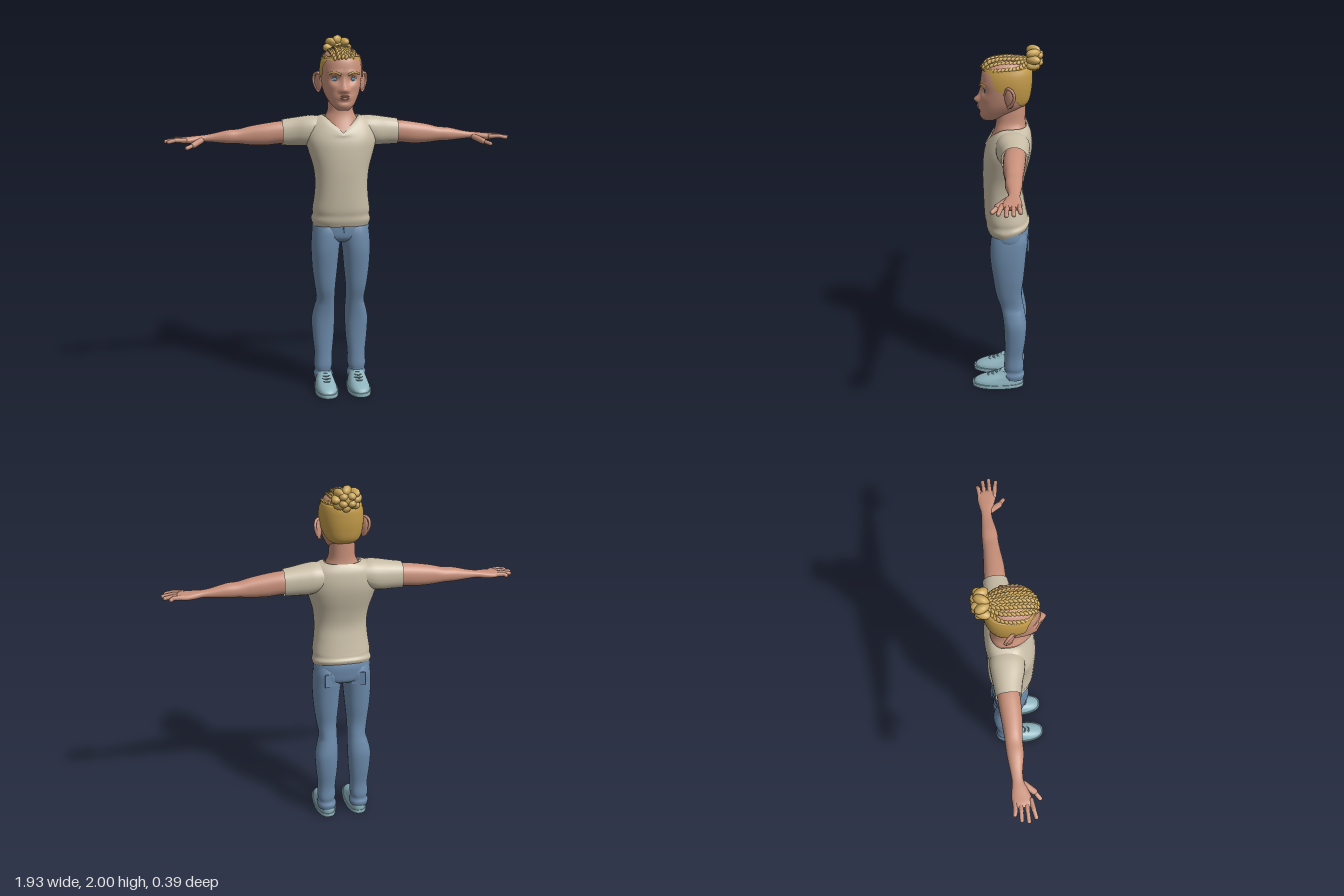
import * as THREE from 'three';
import { mergeGeometries } from 'three/addons/utils/BufferGeometryUtils.js';

const mat = (name, color, side = THREE.FrontSide) => {
  const m = new THREE.MeshStandardMaterial({ color, side });
  m.name = name;
  return m;
};
const clamp = (v, a, b) => Math.min(b, Math.max(a, v));
const bell = (a, b) => Math.exp(-a * a - b * b);

// Smoothly interpolates rows of numbers
function smoothRows(rows, steps) {
  const out = [];
  for (let i = 0; i < rows.length - 1; i++) {
    const p = rows[Math.max(i - 1, 0)], a = rows[i], b = rows[i + 1], n = rows[Math.min(i + 2, rows.length - 1)];
    for (let s = 0; s < steps; s++) {
      const t = s / steps;
      out.push(a.map((v, k) => v + 0.5 * t * (b[k] - p[k] + t * (2 * p[k] - 5 * v + 4 * b[k] - n[k]
        + t * (3 * (v - b[k]) + n[k] - p[k])))));
    }
  }
  out.push(rows[rows.length - 1]);
  return out;
}

// Skin over rounded sections. axis y rows: [y, x0, x1, z0, z1]; axis x rows: [x, y0, y1, z0, z1]
function loft(rows, { axis = 'y', seg = 28, steps = 4, n = 2.3, caps = true, front = null, warp = null } = {}) {
  const pos = [], idx = [], rings = smoothRows(rows, steps);
  const cols = front ? seg + 1 : seg;
  const power = (v) => Math.sign(v) * Math.abs(v) ** (2 / n);
  const put = (v) => { if (warp) warp(v); pos.push(v.x, v.y, v.z); };
  const ringPoint = ([t, a0, a1, b0, b1], i) => {
    let start = 0;
    if (front) {
      const q = clamp((front(t) - (b0 + b1) / 2) / ((b1 - b0) / 2), -1, 1);
      start = Math.acos(Math.sign(q) * Math.abs(q) ** (n / 2));
    }
    const ang = start + (i / seg) * 2 * (Math.PI - start), c = power(Math.cos(ang)), s = power(Math.sin(ang));
    const at = (lo, hi, k) => (lo + hi) / 2 + ((hi - lo) / 2) * k;
    return axis === 'y' ? new THREE.Vector3(at(a0, a1, s), t, at(b0, b1, c))
      : new THREE.Vector3(t, at(a0, a1, c), at(b0, b1, s));
  };
  rings.forEach((r) => { for (let i = 0; i < cols; i++) put(ringPoint(r, i)); });
  for (let j = 0; j < rings.length - 1; j++) for (let i = 0; i < seg; i++) {
    const k = (i + 1) % cols, a = j * cols + i, b = j * cols + k;
    idx.push(a, b, b + cols, a, b + cols, a + cols);
  }
  if (caps) [rings[0], rings[rings.length - 1]].forEach((r, e) => {
    const base = pos.length / 3, a = (r[1] + r[2]) / 2, b = (r[3] + r[4]) / 2;
    for (let i = 0; i < seg; i++) put(ringPoint(r, i));
    put(axis === 'y' ? new THREE.Vector3(a, r[0], b) : new THREE.Vector3(r[0], a, b));
    for (let i = 0; i < seg; i++) {
      const p = base + i, q = base + (i + 1) % seg;
      idx.push(base + seg, e ? p : q, e ? q : p);
    }
  });
  const g = new THREE.BufferGeometry();
  g.setAttribute('position', new THREE.Float32BufferAttribute(pos, 3));
  g.setIndex(idx);
  g.computeVertexNormals();
  return g;
}
const sym = (rows) => rows.map(([y, w, z0, z1]) => [y, -w, w, z0, z1]);

function blob(x, y, z, rx, ry, rz, q = new THREE.Quaternion(), seg = 12) {
  return new THREE.SphereGeometry(1, seg, Math.round(seg * 0.7)).scale(rx, ry, rz).applyQuaternion(q).translate(x, y, z);
}
function capsule(p, q, r) {
  const a = new THREE.Vector3(...p), b = new THREE.Vector3(...q), d = b.clone().sub(a);
  const turn = new THREE.Quaternion().setFromUnitVectors(new THREE.Vector3(0, 1, 0), d.clone().normalize());
  const mid = a.add(b).multiplyScalar(0.5);
  return new THREE.CapsuleGeometry(r, d.length(), 4, 10).applyQuaternion(turn).translate(mid.x, mid.y, mid.z);
}
const tube = (pts, r) => new THREE.TubeGeometry(
  new THREE.CatmullRomCurve3(pts.map((p) => new THREE.Vector3(...p))), 16, r, 8);
function mirrored(geo) {
  const g = geo.clone().scale(-1, 1, 1), ix = g.index;
  for (let i = 0; i < ix.count; i += 3) {
    const t = ix.getX(i);
    ix.setX(i, ix.getX(i + 1));
    ix.setX(i + 1, t);
  }
  return g;
}

export function createModel() {
  const model = new THREE.Group();
  const skin = mat('skin', 0xc8907a), lip = mat('lips', 0xb67a68);
  const cloth = mat('shirt', 0xc8bda6, THREE.DoubleSide), denim = mat('denim', 0x6b89a9);
  const shoe = mat('shoe', 0x8fb4be), lace = mat('laces', 0x64828e);
  const hair = mat('hair', 0xcba659), shaved = mat('shaved hair', 0xc29a49, THREE.DoubleSide);
  const white = mat('eye white', 0xd5d8da), iris = mat('iris', 0x4a8dbd);
  const add = (name, geo, m) => {
    const mesh = new THREE.Mesh(geo, m);
    mesh.name = name;
    model.add(mesh);
  };
  const pair = (name, geo, m) => {
    add('left ' + name, geo, m);
    add('right ' + name, mirrored(geo), m);
  };

  // Head, with the face sculpted by soft bumps and hollows
  const headRows = sym([[1.597, 0.03, 0.06, 0.13], [1.622, 0.058, 0.0, 0.145], [1.66, 0.082, -0.07, 0.145],
    [1.70, 0.098, -0.11, 0.142], [1.76, 0.109, -0.125, 0.136], [1.82, 0.111, -0.13, 0.138],
    [1.87, 0.102, -0.126, 0.128], [1.905, 0.083, -0.1, 0.1], [1.922, 0.055, -0.06, 0.06], [1.93, 0.02, -0.02, 0.025]]);
  add('head', loft(headRows, { seg: 72, steps: 7, warp: (v) => {
    if (v.z < 0.04) return;
    const x = Math.abs(v.x), y = v.y;
    v.z += 0.034 * bell(x / 0.017, (y - 1.708) / 0.02) + 0.012 * bell(x / 0.012, (y - 1.745) / 0.03)
      + 0.014 * bell((x - 0.019) / 0.011, (y - 1.702) / 0.012) + 0.013 * bell(x / 0.03, (y - 1.668) / 0.016)
      + 0.007 * bell((x - 0.045) / 0.04, (y - 1.797) / 0.012) - 0.016 * bell((x - 0.047) / 0.022, (y - 1.763) / 0.017)
      - 0.005 * bell(x / 0.03, (y - 1.643) / 0.01) + 0.005 * bell((x - 0.06) / 0.025, (y - 1.725) / 0.018);
  } }), skin);
  add('neck', loft(sym([[1.42, 0.1, -0.08, 0.108], [1.47, 0.1, -0.1, 0.098], [1.5, 0.1, -0.104, 0.086],
    [1.55, 0.09, -0.105, 0.066], [1.59, 0.072, -0.1, 0.059], [1.65, 0.068, -0.1, 0.06], [1.7, 0.066, -0.1, 0.06]])), skin);
  pair('eye', blob(0.047, 1.763, 0.095, 0.023, 0.021, 0.022, undefined, 18), white);
  pair('iris', blob(0.047, 1.763, 0.115, 0.010, 0.010, 0.005), iris);
  pair('eyelid', tube([[0.022, 1.768, 0.117], [0.045, 1.779, 0.119], [0.07, 1.768, 0.104]], 0.005), skin);
  pair('eyebrow', tube([[0.018, 1.787, 0.141], [0.05, 1.80, 0.132], [0.082, 1.793, 0.104]], 0.006), hair);
  add('upperLip', blob(0, 1.674, 0.154, 0.026, 0.0055, 0.007), lip);
  add('lowerLip', blob(0, 1.663, 0.153, 0.022, 0.006, 0.007), lip);
  const flare = new THREE.Quaternion().setFromEuler(new THREE.Euler(0.12, -0.6, 0));
  pair('ear', mergeGeometries([
    blob(0.122, 1.742, -0.015, 0.010, 0.054, 0.03, flare, 18),
    tube([[0.108, 1.755, 0.008], [0.122, 1.795, -0.005], [0.143, 1.785, -0.032], [0.145, 1.75, -0.042],
      [0.132, 1.712, -0.028], [0.116, 1.69, -0.008]], 0.008)]), skin);

  // Shaved sides that follow a hairline
  const line = [[1.66, -0.12], [1.69, -0.075], [1.74, -0.035], [1.765, 0.0], [1.78, 0.06], [1.84, 0.075], [1.865, 0.09], [1.885, 0.2]];
  const hairline = (y) => {
    const i = clamp(line.findIndex((p) => p[0] > y), 1, line.length - 1), [a, b] = [line[i - 1], line[i]];
    return a[1] + (b[1] - a[1]) * clamp((y - a[0]) / (b[0] - a[0]), 0, 1);
  };
  const capRows = headRows.slice(2).map(([y, a, b, c, d]) => [y + (y > 1.9 ? 0.004 : 0), a - 0.006, b + 0.006, c - 0.006, d + 0.005]);
  add('shavedSides', loft(capRows, { seg: 56, steps: 7, caps: false, front: hairline }), shaved);

  // Braids from the forehead back to the bun
  const strands = [];
  for (let i = 0; i < 7; i++) {
    const u = (i - 3) / 3, drop = 0.052 * u * u;
    const curve = new THREE.CatmullRomCurve3([[0.06, 1.882, 0.127], [0.08, 1.917, 0.096], [0.087, 1.934, 0.02],
      [0.072, 1.932, -0.06], [0.025, 1.925, -0.115]].map(([w, y, z], k) => new THREE.Vector3(
      w * u, y - drop * [0.35, 0.8, 1, 0.8, 0.2][k], z - (k < 2 ? 0.035 * u * u : 0))));
    for (let s = 0; s < 26; s++) {
      const t = s / 25, side = s % 2 ? 1 : -1, p = curve.getPointAt(t);
      const q = new THREE.Quaternion().setFromUnitVectors(new THREE.Vector3(0, 0, -1), curve.getTangentAt(t))
        .multiply(new THREE.Quaternion().setFromAxisAngle(new THREE.Vector3(0, 1, 0), side * 0.55));
      strands.push(blob(p.x + side * 0.006, p.y, p.z, 0.009, 0.013, 0.018, q, 8));
    }
  }
  add('braids', mergeGeometries(strands), hair);
  const bun = [blob(0, 1.93, -0.145, 0.045, 0.04, 0.038)];
  for (let i = 0; i < 8; i++) {
    const a = (i * Math.PI) / 4, c = Math.cos(a), s = Math.sin(a);
    const q = new THREE.Quaternion().setFromEuler(new THREE.Euler(0, 0.5 * (i % 2 ? 1 : -1), a));
    bun.push(blob(0.052 * c, 1.93 + 0.042 * s, -0.138, 0.028, 0.024, 0.042, q));
    if (i % 2) bun.push(blob(0.03 * c, 1.93 + 0.026 * s, -0.165, 0.024, 0.02, 0.026));
  }
  add('bun', mergeGeometries(bun), hair);

  // Shirt with a V neck and a hem that rises at the back
  add('shirtBody', loft(sym([[0.955, 0.156, -0.123, 0.102], [0.985, 0.166, -0.128, 0.113], [1.015, 0.159, -0.119, 0.116],
    [1.05, 0.16, -0.114, 0.123], [1.12, 0.15, -0.1, 0.127], [1.2, 0.146, -0.088, 0.13], [1.28, 0.155, -0.1, 0.132],
    [1.36, 0.178, -0.122, 0.13], [1.42, 0.194, -0.135, 0.124], [1.47, 0.195, -0.138, 0.108],
    [1.52, 0.182, -0.132, 0.082], [1.55, 0.15, -0.12, 0.062], [1.568, 0.1, -0.107, 0.05]]), {
    seg: 56, caps: false, warp: (v) => {
      if (v.y < 1.05 && v.z < 0) v.y -= v.z * 0.35 * (1.05 - v.y) / 0.1;
      if (v.y > 1.45 && v.z > -0.02) {
        const d = 0.095 * Math.max(0, 1 - Math.abs(v.x) / 0.1) * (v.y - 1.45) / 0.12;
        v.y -= d;
        v.z += 0.62 * d;
      }
    } }), cloth);
  pair('sleeve', loft([[0.09, 1.43, 1.556, -0.115, 0.05], [0.15, 1.405, 1.564, -0.125, 0.055], [0.2, 1.395, 1.56, -0.123, 0.05],
    [0.26, 1.397, 1.551, -0.117, 0.032], [0.322, 1.398, 1.542, -0.112, 0.022]], { axis: 'x', caps: false }), cloth);

  // Arms and hands
  pair('arm', loft([[0.28, 1.41, 1.532, -0.105, 0.012], [0.34, 1.407, 1.531, -0.103, 0.013], [0.42, 1.4, 1.52, -0.098, 0.012],
    [0.5, 1.403, 1.506, -0.092, 0.003], [0.56, 1.41, 1.491, -0.09, -0.002], [0.62, 1.412, 1.486, -0.088, -0.003],
    [0.7, 1.42, 1.468, -0.08, -0.018], [0.75, 1.423, 1.46, -0.077, -0.02], [0.79, 1.417, 1.457, -0.083, -0.005],
    [0.83, 1.415, 1.453, -0.088, 0.009], [0.865, 1.418, 1.45, -0.085, 0.013], [0.885, 1.427, 1.444, -0.07, 0.0]],
  { axis: 'x' }), skin);
  const fingers = [[-0.073, -0.081, 0.925], [-0.046, -0.05, 0.955], [-0.018, -0.016, 0.964], [0.006, 0.021, 0.948]]
    .map(([z0, z1, x]) => mergeGeometries([capsule([0.85, 1.436, z0], [0.9, 1.438, (z0 + z1) / 2], 0.0125),
      capsule([0.9, 1.438, (z0 + z1) / 2], [x - 0.011, 1.43, z1], 0.011)]));
  pair('fingers', mergeGeometries(fingers), skin);
  pair('thumb', mergeGeometries([capsule([0.765, 1.432, -0.02], [0.805, 1.412, 0.027], 0.017),
    capsule([0.805, 1.412, 0.027], [0.84, 1.399, 0.052], 0.0115)]), skin);

  // Jeans
  add('hips', loft(sym([[0.86, 0.06, -0.08, 0.05], [0.885, 0.13, -0.115, 0.084], [0.93, 0.16, -0.122, 0.09],
    [0.98, 0.157, -0.122, 0.088], [1.04, 0.148, -0.1, 0.09]])), denim);
  add('fly', capsule([0.004, 0.9, 0.085], [0.004, 0.95, 0.0885], 0.004), denim);
  pair('trouserLeg', loft([[0.05, 0.045, 0.148, -0.1, 0.01], [0.075, 0.041, 0.152, -0.107, 0.019], [0.1, 0.051, 0.145, -0.099, 0.01],
    [0.13, 0.045, 0.15, -0.102, 0.013], [0.2, 0.045, 0.147, -0.097, 0.01], [0.3, 0.035, 0.157, -0.11, 0.01],
    [0.4, 0.03, 0.162, -0.116, 0.015], [0.47, 0.03, 0.148, -0.107, 0.025], [0.52, 0.032, 0.136, -0.097, 0.036],
    [0.6, 0.03, 0.147, -0.087, 0.06], [0.7, 0.02, 0.16, -0.098, 0.076], [0.8, 0.011, 0.166, -0.107, 0.09],
    [0.87, 0.003, 0.165, -0.113, 0.092], [0.93, 0.001, 0.159, -0.118, 0.087], [0.98, 0.02, 0.148, -0.1, 0.07]]), denim);
  pair('backPocket', new THREE.BoxGeometry(0.075, 0.075, 0.008).rotateY(0.3).translate(0.078, 0.9, -0.112), denim);

  // Shoes, narrower at the heel
  const heel = (v) => { v.x = 0.093 + (v.x - 0.093) * (0.9 + 0.1 * clamp((v.z + 0.05) / 0.15, 0, 1)); };
  pair('sole', loft([[0, 0.026, 0.16, -0.1, 0.198], [0.01, 0.025, 0.161, -0.102, 0.2], [0.022, 0.026, 0.16, -0.101, 0.199]],
    { n: 2.4, seg: 36, warp: heel }), shoe);
  pair('shoeUpper', loft([[0.018, 0.031, 0.156, -0.097, 0.192], [0.035, 0.033, 0.154, -0.1, 0.184], [0.05, 0.038, 0.15, -0.1, 0.158],
    [0.065, 0.043, 0.146, -0.098, 0.115], [0.08, 0.048, 0.141, -0.096, 0.07], [0.1, 0.055, 0.135, -0.09, 0.03]],
  { n: 2.4, seg: 36, warp: heel }), shoe);
  const laces = [0, 1, 2, 3].map((i) => {
    const y = 0.066 + i * 0.009, z = 0.1 - i * 0.024;
    return tube([[0.066, y - 0.002, z - 0.012], [0.093, y + 0.002, z + 0.008], [0.12, y - 0.002, z - 0.012]], 0.005);
  });
  pair('laces', mergeGeometries(laces), lace);
  return model;
}
